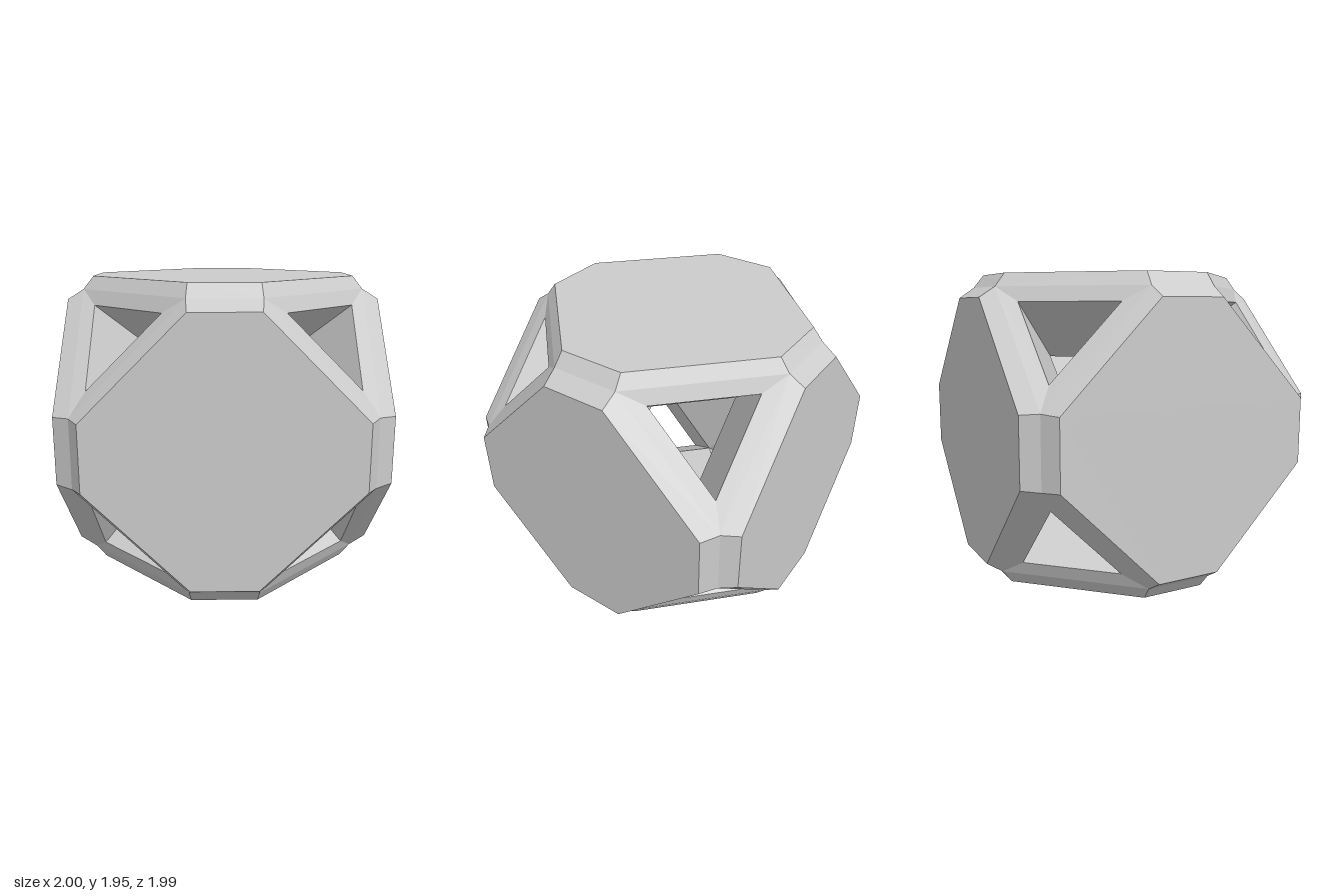
import * as THREE from 'three';

// Half sizes along x, y, z, measured to the flat octagon panels
const FACE = [1, 0.977, 0.993];
const CENTRE_Y = 0.977;
const SHORT = 0.207, LONG = 0.83;    // octagon corner offsets
const GROOVE = [0.215, 0.895];       // crease between neighbouring panels
const HOLE = [0.355, 0.805];         // rim of the triangular openings
const THROAT = [0, 0.45];            // inner end of the openings

// Point with coordinates a, b, c along axis k and the two axes after it
function point(k, a, b, c) {
  const p = [0, 0, 0];
  p[k] = a;
  p[(k + 1) % 3] = b;
  p[(k + 2) % 3] = c;
  return p;
}

// Adds a convex polygon as a fan, reversed when mirrored
function addPolygon(out, corners, mirrored) {
  const c = mirrored ? [...corners].reverse() : corners;
  for (let i = 1; i < c.length - 1; i++) out.push(...c[0], ...c[i], ...c[i + 1]);
}

function makeMesh(name, positions, material) {
  const geometry = new THREE.BufferGeometry();
  geometry.setAttribute('position', new THREE.Float32BufferAttribute(positions, 3));
  geometry.computeVertexNormals();
  const mesh = new THREE.Mesh(geometry, material);
  mesh.name = name;
  return mesh;
}

export function createModel() {
  const panels = [], struts = [], collars = [], chamber = [];
  const S = SHORT, L = LONG, signs = [1, -1];

  for (let k = 0; k < 3; k++) {
    const u = (k + 1) % 3, v = (k + 2) % 3;

    for (const s of signs) {
      // Octagonal outer panel
      const octagon = [[L, -S], [L, S], [S, L], [-S, L], [-L, S], [-L, -S], [-S, -L], [S, -L]];
      addPolygon(panels, octagon.map(([a, b]) => point(k, s * FACE[k], a, b)), s < 0);

      // Square inner wall of the hollow centre, facing inwards
      const t = THROAT[1];
      const square = [[t, 0], [0, t], [-t, 0], [0, -t]];
      addPolygon(chamber, square.map(([a, b]) => point(k, s * t, a, b)), s > 0);
    }

    // Creased strut between two panels, running along axis k
    for (const su of signs) for (const sv of signs) {
      const [g, r] = GROOVE;
      const r0 = point(k, -g, su * r, sv * r), r1 = point(k, g, su * r, sv * r);
      const p0 = point(k, -S, su * FACE[u], sv * L), p1 = point(k, S, su * FACE[u], sv * L);
      const q0 = point(k, -S, su * L, sv * FACE[v]), q1 = point(k, S, su * L, sv * FACE[v]);
      addPolygon(struts, [p0, r0, r1, p1], su * sv < 0);
      addPolygon(struts, [q0, q1, r1, r0], su * sv < 0);
    }

    // One side of each corner collar: bevel, rim and tunnel wall
    const rings = [[S, L, FACE[k]], ...[GROOVE, HOLE, THROAT].map(([a, b]) => [a, b, b])];
    for (const sx of signs) for (const sy of signs) for (const sz of signs) {
      const sign = [sx, sy, sz];
      const corner = (a, b, c) => point(k, c, a, b).map((n, i) => n * sign[i]);
      for (let i = 0; i < 3; i++) {
        const [a, b, c] = rings[i], [d, e, f] = rings[i + 1];
        addPolygon(collars, [corner(a, b, c), corner(b, a, c), corner(e, d, f), corner(d, e, f)],
          sx * sy * sz < 0);
      }
    }
  }

  const material = new THREE.MeshStandardMaterial({ color: 0xcccccc, flatShading: true });
  const group = new THREE.Group();
  group.name = 'truncatedCube';
  group.add(
    makeMesh('octagonPanels', panels, material),
    makeMesh('edgeStruts', struts, material),
    makeMesh('cornerCollars', collars, material),
    makeMesh('innerChamber', chamber, material)
  );
  group.position.y = CENTRE_Y;
  return group;
}
